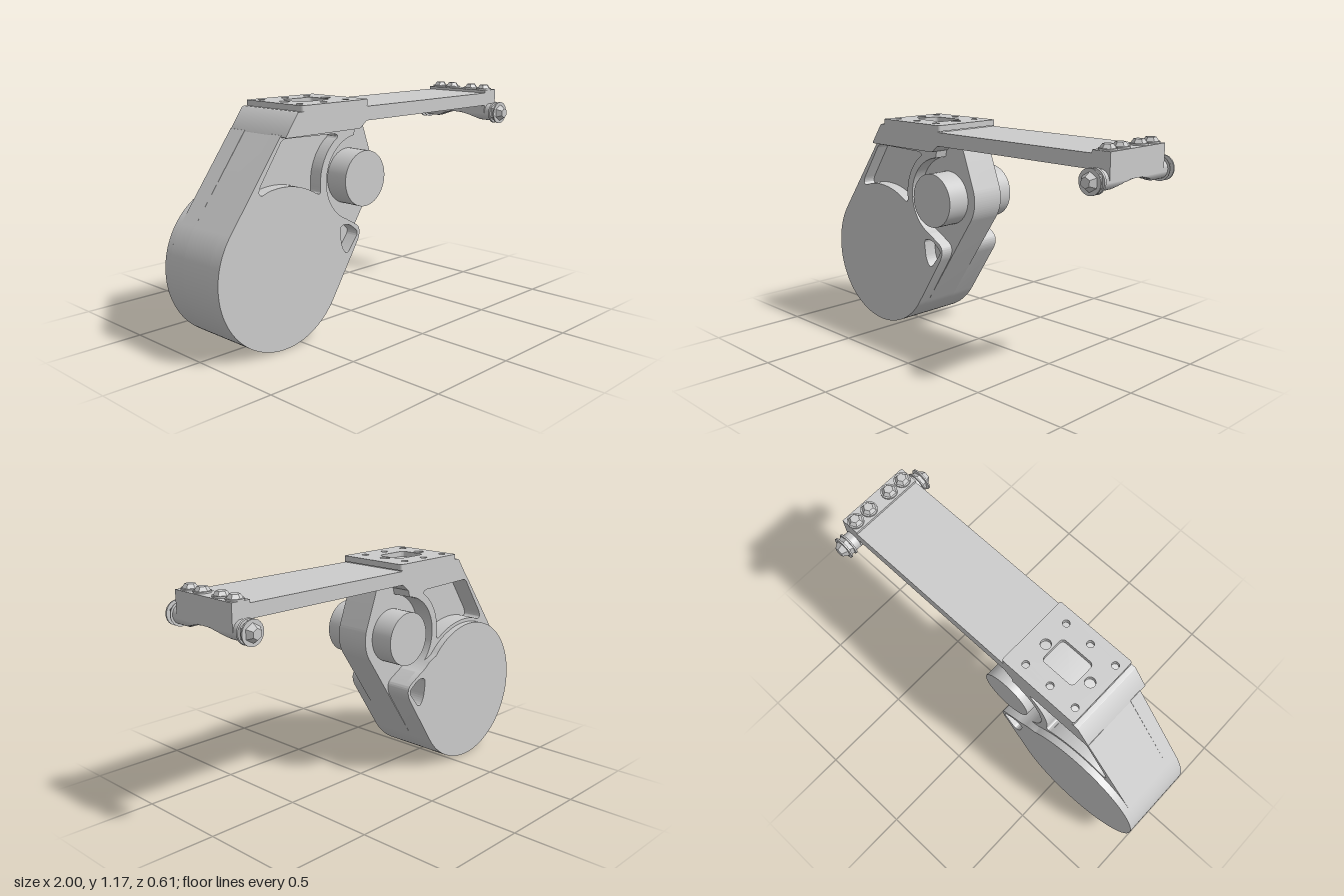
import * as THREE from 'three';
import { toCreasedNormals } from 'three/addons/utils/BufferGeometryUtils.js';

const material = new THREE.MeshStandardMaterial({ color: 0xcccccc });
const rad = THREE.MathUtils.degToRad;
const DRUM = { x: -0.62, y: 0.385, r: 0.386 };
const AXLE = { x: -0.125, y: 0.772 };

function add(parent, name, geometry, x = 0, y = 0, z = 0) {
  const mesh = new THREE.Mesh(geometry, material);
  mesh.name = name;
  mesh.position.set(x, y, z);
  parent.add(mesh);
  return mesh;
}

// Extrudes a shape between two depths, smooth on curves and sharp at edges
function slab(shape, z0, z1) {
  const g = new THREE.ExtrudeGeometry(shape, { depth: z1 - z0, bevelEnabled: false, curveSegments: 40 });
  g.translate(0, 0, z0);
  return toCreasedNormals(g, 0.5);
}

// Polygon with softened corners
function softPolygon(points, r, path = new THREE.Path()) {
  const v = points.map(([x, y]) => new THREE.Vector2(x, y));
  v.forEach((p, i) => {
    const toward = (q) => p.clone().add(q.clone().sub(p).setLength(Math.min(r, q.distanceTo(p) / 2)));
    const a = toward(v[(i + v.length - 1) % v.length]);
    const b = toward(v[(i + 1) % v.length]);
    if (i) path.lineTo(a.x, a.y); else path.moveTo(a.x, a.y);
    path.quadraticCurveTo(p.x, p.y, b.x, b.y);
  });
  path.closePath();
  return path;
}

const drumArc = (path, a, b) => path.absarc(DRUM.x, DRUM.y, DRUM.r, rad(a), rad(b), false);
const axleArc = (path, r, a, b, cw) => path.absarc(AXLE.x, AXLE.y, r, rad(a), rad(b), cw);

// Small lobe beside the drum, holding the triangular recess
function lobe(path) {
  path.lineTo(-0.125, 0.44);
  path.quadraticCurveTo(-0.09, 0.5, -0.13, 0.53);
  path.lineTo(-0.205, 0.572);
}
const triangle = () => softPolygon([[-0.25, 0.54], [-0.19, 0.545], [-0.115, 0.49], [-0.2, 0.385], [-0.235, 0.43]], 0.03);

// Pocket between drum, axle recess and top block
function pocket() {
  const p = new THREE.Path();
  p.moveTo(-0.6, 1.012);
  p.lineTo(-0.285, 1.005);
  p.quadraticCurveTo(-0.245, 0.995, -0.278, 0.975);
  axleArc(p, 0.255, 127, 184, false);
  p.quadraticCurveTo(-0.375, 0.71, -0.405, 0.73);
  p.absarc(DRUM.x, DRUM.y, 0.405, rad(58), rad(102), false);
  p.lineTo(-0.74, 0.768);
  p.quadraticCurveTo(-0.775, 0.77, -0.75, 0.815);
  p.lineTo(-0.635, 0.985);
  p.quadraticCurveTo(-0.62, 1.012, -0.6, 1.012);
  return p;
}

function buildHousing(parent) {
  // Thin core with the full outline
  const core = new THREE.Shape();
  drumArc(core, 143.8, 326.6);
  axleArc(core, 0.19, -33.4, 20, false);
  core.lineTo(-0.02, 1.035);
  core.lineTo(-0.1, 1.06);
  core.lineTo(-0.6, 1.06);
  add(parent, 'housingCore', slab(core, -0.095, 0.095));

  // Thicker side walls, cut away around the axle
  for (const [name, z0, z1] of [['frontWall', 0.095, 0.165], ['backWall', -0.2, -0.095]]) {
    const wall = new THREE.Shape();
    drumArc(wall, 143.8, 326.6);
    lobe(wall);
    axleArc(wall, 0.215, 248, 97, true);
    wall.lineTo(-0.14, 1.03);
    wall.lineTo(-0.625, 1.03);
    wall.holes.push(pocket(), triangle());
    add(parent, name, slab(wall, z0, z1));
  }

  // Raised rear drum cover
  const cover = new THREE.Shape();
  drumArc(cover, 42, 326.6);
  lobe(cover);
  axleArc(cover, 0.215, 248, 225, true);
  cover.holes.push(triangle());
  add(parent, 'drumCover', slab(cover, -0.237, -0.2));

  // Axle drum through the housing
  add(parent, 'axle', new THREE.CylinderGeometry(0.14, 0.14, 0.44, 48), AXLE.x, AXLE.y, 0).rotation.x = Math.PI / 2;
}

function buildMount(parent) {
  // Wide sloped block under the plate
  const block = softPolygon([[-0.63, 1.02], [-0.14, 1.02], [-0.09, 1.06], [-0.09, 1.132], [-0.55, 1.132]], 0.01, new THREE.Shape());
  add(parent, 'mountBlock', slab(block, -0.2, 0.2));

  // Plate with window and screw holes, drawn flat then laid down
  const plate = softPolygon([[-0.525, -0.2], [-0.083, -0.2], [-0.083, 0.2], [-0.525, 0.2]], 0.012, new THREE.Shape());
  plate.holes.push(softPolygon([[-0.405, -0.07], [-0.215, -0.07], [-0.215, 0.075], [-0.405, 0.075]], 0.025));
  const holes = [[-0.45, 0.005, 0.026], [-0.178, 0.005, 0.026]];
  for (const x of [-0.48, -0.328, -0.178]) for (const y of [-0.135, 0.14]) holes.push([x, y, 0.018]);
  for (const [x, y, r] of holes) plate.holes.push(new THREE.Path().absarc(x, y, r, 0, Math.PI * 2, true));
  add(parent, 'topPlate', slab(plate, 0, 0.03), 0, 1.13, 0).rotation.x = -Math.PI / 2;
}

// Faceted bolt along +y: collar, nut, collar, tapered head
function bolt() {
  const group = new THREE.Group();
  group.name = 'clampBolt';
  const stack = [['innerWasher', 0.057, 0.06, 0, 0.008, 24], ['nut', 0.045, 0.052, 0.008, 0.03, 6],
    ['outerWasher', 0.06, 0.06, 0.03, 0.038, 24], ['head', 0.026, 0.045, 0.038, 0.068, 6]];
  for (const [name, top, bottom, y0, y1, sides] of stack) {
    const g = new THREE.CylinderGeometry(top, bottom, y1 - y0, sides);
    add(group, name, toCreasedNormals(g, 0.5), 0, (y0 + y1) / 2, 0);
  }
  return group;
}

function buildArm(parent) {
  add(parent, 'arm', new THREE.BoxGeometry(1.02, 0.07, 0.4), 0.4, 1.09, 0);
  add(parent, 'endBracket', new THREE.BoxGeometry(0.1, 0.128, 0.4), 0.935, 1.076, 0);

  // Cross rod with an arched underside
  const rod = new THREE.CylinderGeometry(0.048, 0.048, 0.48, 32, 32);
  rod.rotateX(Math.PI / 2);
  const pos = rod.attributes.position;
  for (let i = 0; i < pos.count; i++) {
    const arch = -0.01 - 0.035 * (pos.getZ(i) / 0.15) ** 2;
    pos.setY(i, Math.max(pos.getY(i), arch));
  }
  add(parent, 'archedCrossRod', toCreasedNormals(rod, 0.5), 0.935, 1.015, 0);

  // Bolts at both rod ends
  for (const side of [1, -1]) {
    const b = bolt();
    b.position.set(0.935, 1.015, side * 0.235);
    b.rotation.x = side * Math.PI / 2;
    parent.add(b);
  }

  // Row of bolts on top of the bracket
  for (const z of [-0.16, -0.07, 0.065, 0.155]) {
    add(parent, 'topWasher', new THREE.CylinderGeometry(0.042, 0.042, 0.008, 24), 0.935, 1.144, z);
    const head = new THREE.CylinderGeometry(0.024, 0.038, 0.02, 6);
    add(parent, 'topBolt', toCreasedNormals(head, 0.5), 0.935, 1.157, z);
  }
}

export function createModel() {
  const model = new THREE.Group();
  model.name = 'armAndHousing';
  for (const [name, build] of [['housing', buildHousing], ['mount', buildMount], ['armAssembly', buildArm]]) {
    const group = new THREE.Group();
    group.name = name;
    build(group);
    model.add(group);
  }
  return model;
}
